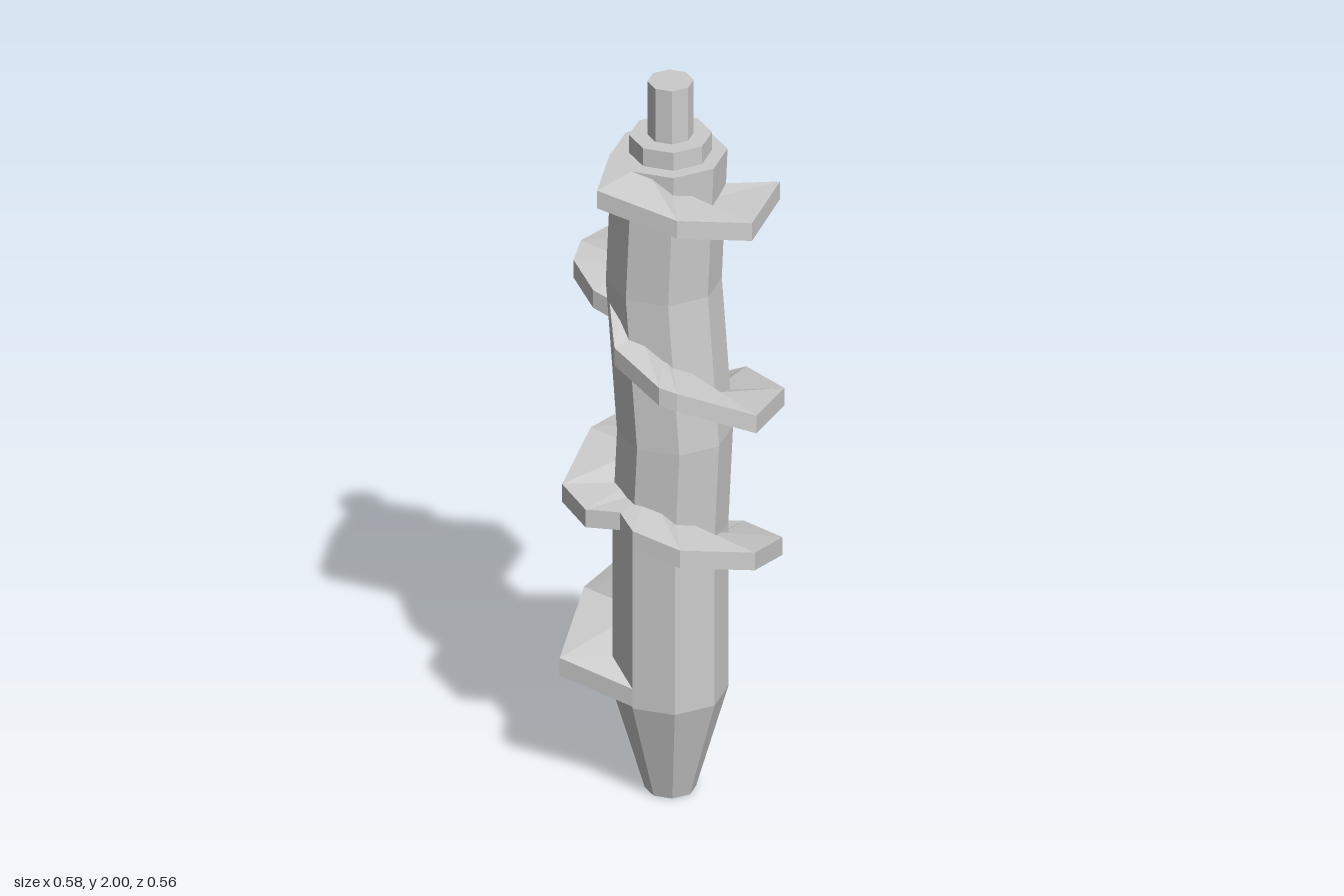
import * as THREE from 'three';

// Sideways bend of the worn core: [height, x offset]
const BEND = [[0, 0], [0.28, 0], [0.75, 0], [1.02, 0.015], [1.43, -0.022], [1.8, -0.003], [2, 0]];

function bendAt(y) {
  for (let i = 1; i < BEND.length; i++) {
    const [y0, x0] = BEND[i - 1], [y1, x1] = BEND[i];
    if (y <= y1) return x0 + (x1 - x0) * (y - y0) / (y1 - y0);
  }
  return 0;
}

// Chipped spiral edge, top to bottom: [degrees from front towards +x, radius, top height]
const FLIGHT = [
  [-45, 0.148, 1.8], [0, 0.277, 1.8], [45, 0.279, 1.75], [90, 0.277, 1.69],
  [135, 0.28, 1.70], [180, 0.28, 1.56], [225, 0.28, 1.505], [270, 0.274, 1.443],
  [285, 0.25, 1.425], [305, 0.18, 1.39], [315, 0.14, 1.38],
  [360, 0.2, 1.32], [396, 0.276, 1.275], [405, 0.28, 1.26], [450, 0.28, 1.15],
  [495, 0.28, 1.12], [540, 0.278, 1.08], [585, 0.28, 0.99], [630, 0.272, 0.925],
  [675, 0.276, 0.87], [703, 0.256, 0.86], [720, 0.2, 0.86], [738, 0.256, 0.853],
  [765, 0.28, 0.82], [810, 0.277, 0.76], [855, 0.28, 0.695], [900, 0.278, 0.64],
  [945, 0.28, 0.6], [990, 0.285, 0.465], [1035, 0.277, 0.375], [1080, 0.145, 0.335],
];

// Sweep a four-cornered section along the spiral
function flightGeometry(thickness, innerRadius) {
  const pos = [], index = [];
  for (const [deg, r, y] of FLIGHT) {
    const a = THREE.MathUtils.degToRad(deg);
    const s = Math.sin(a), c = Math.cos(a), dx = bendAt(y);
    for (const [rad, h] of [[innerRadius, y], [r, y], [r, y - thickness], [innerRadius, y - thickness]]) {
      pos.push(dx + rad * s, h, rad * c);
    }
  }
  const last = (FLIGHT.length - 1) * 4;
  for (let i = 0; i < last; i += 4) {
    for (let k = 0; k < 4; k++) {
      const n = (k + 1) % 4;
      index.push(i + k, i + n, i + 4 + n, i + k, i + 4 + n, i + 4 + k);
    }
  }
  index.push(0, 3, 2, 0, 2, 1, last, last + 1, last + 2, last, last + 2, last + 3);
  const g = new THREE.BufferGeometry();
  g.setAttribute('position', new THREE.Float32BufferAttribute(pos, 3));
  g.setIndex(index);
  const flat = g.toNonIndexed();
  flat.computeVertexNormals();
  return flat;
}

export function createModel() {
  const group = new THREE.Group();
  const material = new THREE.MeshStandardMaterial({ color: 0xcccccc, flatShading: true });
  const add = (name, geometry, y = 0) => {
    const mesh = new THREE.Mesh(geometry, material);
    mesh.name = name;
    mesh.position.y = y;
    group.add(mesh);
  };

  // Eight-sided core with tapered tip, bent along its length
  const profile = [[0, 0], [0.064, 0], [0.145, 0.28], [0.145, 0.75], [0.145, 1.02], [0.145, 1.43], [0.145, 1.8], [0, 1.8]];
  const core = new THREE.LatheGeometry(profile.map(([r, y]) => new THREE.Vector2(r, y)), 8);
  const p = core.attributes.position;
  for (let i = 0; i < p.count; i++) p.setX(i, p.getX(i) + bendAt(p.getY(i)));
  core.computeVertexNormals();
  add('core', core);

  // Spiral blade around the core
  add('spiralFlight', flightGeometry(0.05, 0.1));

  // Collar and drive shaft
  add('collar', new THREE.CylinderGeometry(0.104, 0.104, 0.05, 8), 1.825);
  add('shaft', new THREE.CylinderGeometry(0.058, 0.058, 0.18, 8), 1.91);

  return group;
}
